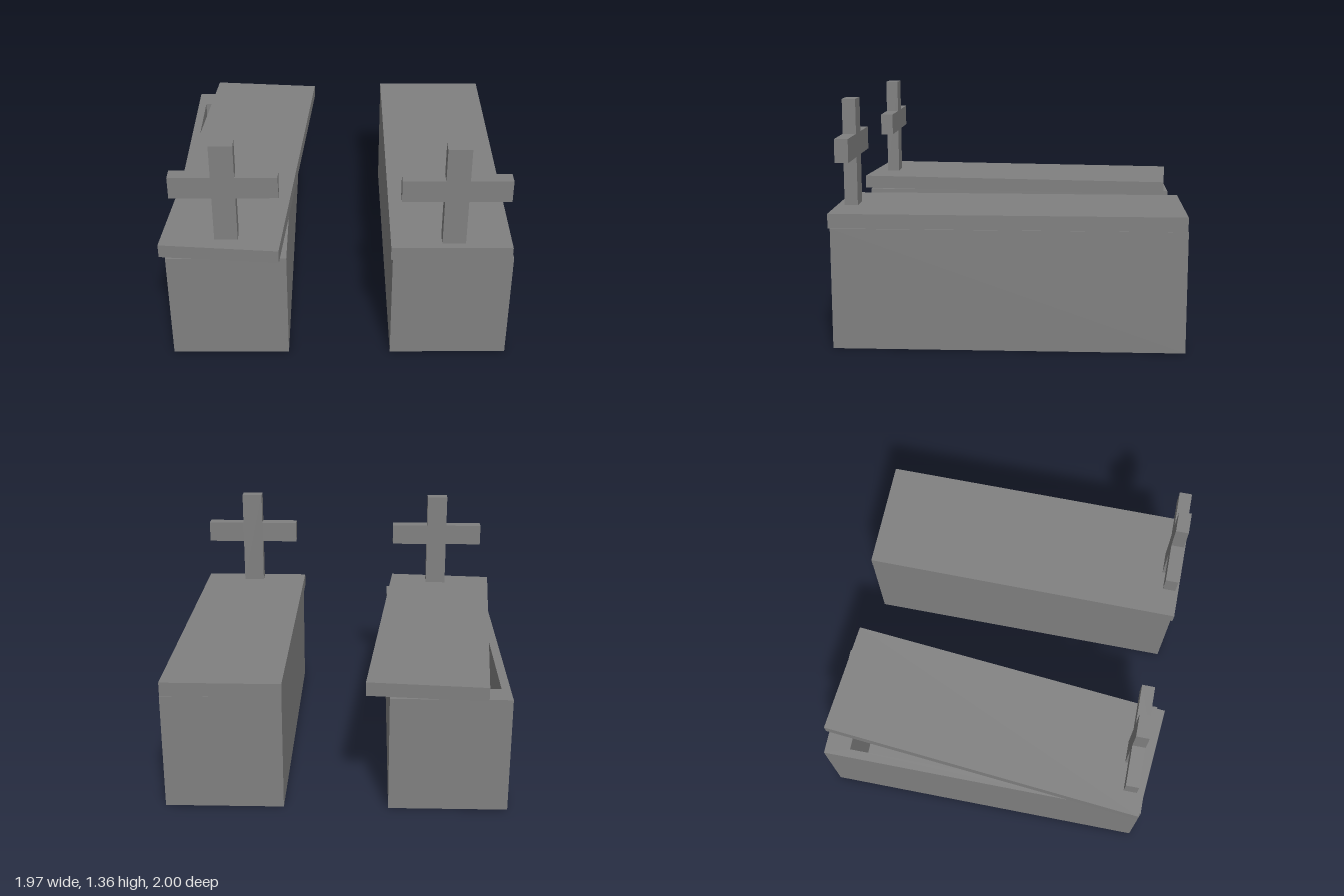
import * as THREE from 'three';

const stone = new THREE.MeshStandardMaterial({ color: 0x808080 });
stone.name = 'grey stone';

const WIDTH = 0.67, LENGTH = 1.935, HEIGHT = 0.675, LID = 0.08, FLOOR = 0.06;

function addBox(parent, name, w, h, d, x, y, z) {
  const mesh = new THREE.Mesh(new THREE.BoxGeometry(w, h, d), stone);
  mesh.name = name;
  mesh.position.set(x, y, z);
  parent.add(mesh);
  return mesh;
}

function rectangle(path, w, l) {
  path.moveTo(-w / 2, -l / 2);
  path.lineTo(w / 2, -l / 2);
  path.lineTo(w / 2, l / 2);
  path.lineTo(-w / 2, l / 2);
  path.closePath();
  return path;
}

// Hollow chest: thin side walls, thicker end walls, closed floor
function addChest(parent, x, z) {
  const outline = rectangle(new THREE.Shape(), WIDTH, LENGTH);
  outline.holes.push(rectangle(new THREE.Path(), WIDTH - 0.1, LENGTH - 0.3));
  const geometry = new THREE.ExtrudeGeometry(outline, { depth: HEIGHT, bevelEnabled: false });
  geometry.rotateX(-Math.PI / 2);
  const walls = new THREE.Mesh(geometry, stone);
  walls.name = 'chestWalls';
  walls.position.set(x, 0, z);
  parent.add(walls);
  addBox(parent, 'chestFloor', WIDTH - 0.1, FLOOR, LENGTH - 0.3, x, FLOOR / 2, z);
}

// Upright with one arm on each side
function addCross(parent, x, z) {
  const cross = new THREE.Group();
  cross.name = 'cross';
  cross.position.set(x, HEIGHT + LID, z);
  addBox(cross, 'upright', 0.13, 0.6, 0.075, 0, 0.3, 0);
  for (const side of [-1, 1]) {
    addBox(cross, 'crossArm', 0.232, 0.13, 0.075, side * 0.181, 0.34, 0);
  }
  parent.add(cross);
}

function makeTomb(name, t) {
  const tomb = new THREE.Group();
  tomb.name = name;
  addChest(tomb, t.x, -0.0125);
  const lid = addBox(tomb, 'lid', WIDTH, LID, 1.947, t.lidX, HEIGHT + LID / 2, t.lidZ);
  lid.rotation.y = THREE.MathUtils.degToRad(t.turn);
  addCross(tomb, t.crossX, t.crossZ);
  return tomb;
}

export function createModel() {
  const model = new THREE.Group();
  model.name = 'stoneTombs';
  // The right lid is pushed askew, the left one lies almost straight
  model.add(makeTomb('rightTomb', { x: -0.613, lidX: -0.566, lidZ: -0.002, turn: -5, crossX: -0.612, crossZ: 0.849 }));
  model.add(makeTomb('leftTomb', { x: 0.646, lidX: 0.64, lidZ: -0.006, turn: -0.3, crossX: 0.648, crossZ: 0.888 }));
  return model;
}
